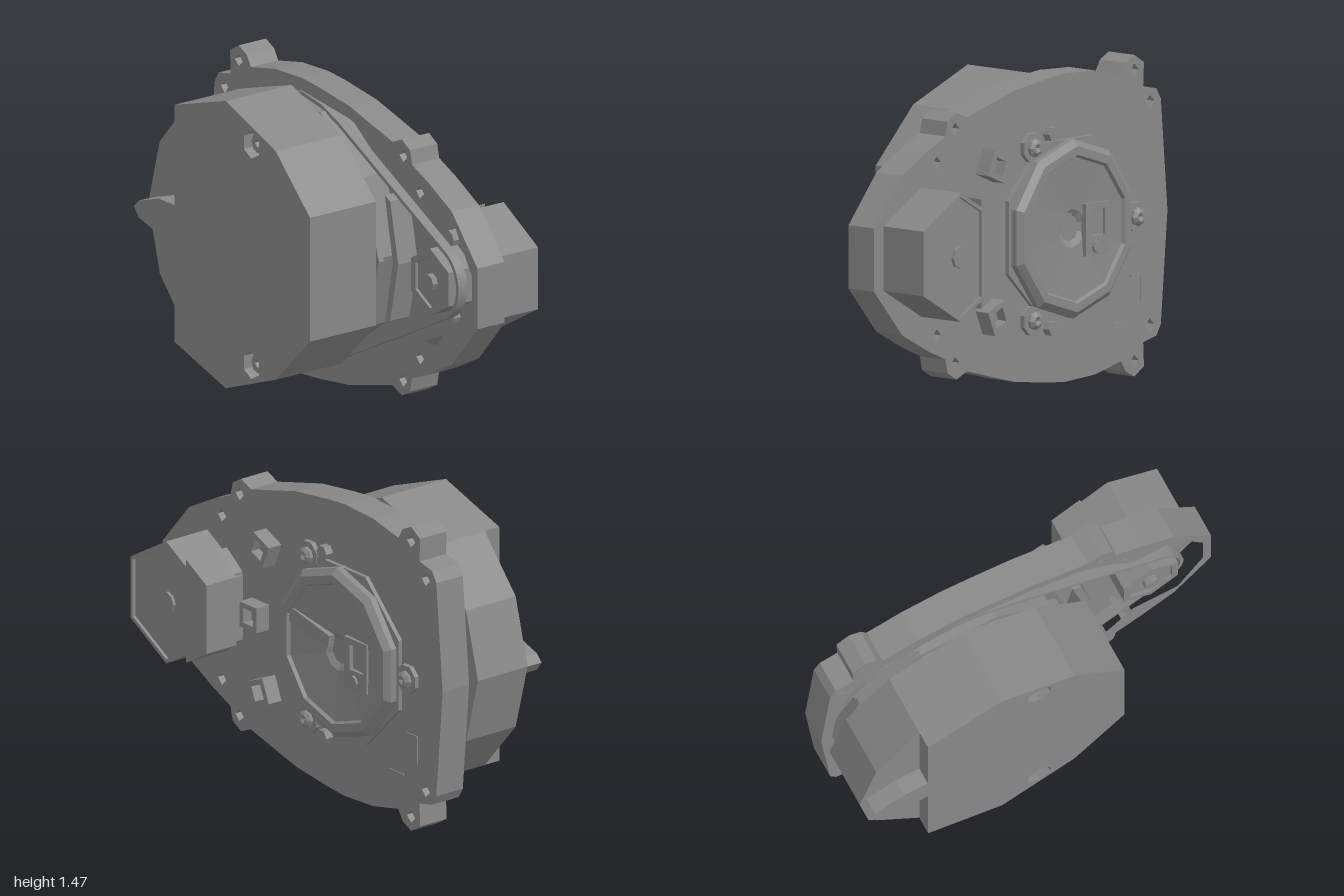
import * as THREE from 'three';

const grey = new THREE.MeshStandardMaterial({ color: 0x888888 });
grey.name = 'housing grey';
const CY = 0.735; // height of the mirror axis

// Regular polygon as a list of [x, y]
const ngon = (cx, cy, r, n, rot = 0) => Array.from({ length: n }, (_, i) => {
  const a = rot + (i / n) * Math.PI * 2;
  return [cx + r * Math.cos(a), cy + r * Math.sin(a)];
});
const flip = ([x, y]) => [x, 2 * CY - y];
// Closes an upper outline with its reflection
const mirrored = (top) => [...top, ...top.filter((p) => p[1] !== CY).reverse().map(flip)];
const vec = (pts) => pts.map(([x, y]) => new THREE.Vector2(x, y));

export function createModel() {
  const model = new THREE.Group();
  model.name = 'beltDriveUnit';

  const add = (name, geometry) => {
    const flat = geometry.index ? geometry.toNonIndexed() : geometry;
    flat.computeVertexNormals();
    const mesh = new THREE.Mesh(flat, grey);
    mesh.name = name;
    model.add(mesh);
    return mesh;
  };
  // Polygon extruded from z0 to z1, with optional holes
  const prism = (name, pts, z0, z1, holes = []) => {
    const shape = new THREE.Shape(vec(pts));
    holes.forEach((h) => shape.holes.push(new THREE.Path(vec(h))));
    const g = new THREE.ExtrudeGeometry(shape, { depth: z1 - z0, bevelEnabled: false });
    return add(name, g.translate(0, 0, z0));
  };
  // Turned part whose profile [radius, height] grows towards the back
  const turned = (name, x, y, profile, n) =>
    add(name, new THREE.LatheGeometry(vec(profile), n).rotateX(-Math.PI / 2).translate(x, y, 0));

  // Tray housing with lugs
  const outline = mirrored([
    [-0.995, CY], [-0.95, 1.25], [-0.92, 1.3], [-0.83, 1.32], [-0.835, 1.43], [-0.77, 1.47],
    [-0.71, 1.44], [-0.68, 1.39], [-0.5, 1.43], [-0.3, 1.44], [-0.18, 1.43], [0.05, 1.4],
    [0.37, 1.315], [0.44, 1.345], [0.5, 1.31], [0.515, 1.245], [0.64, 1.19], [0.81, 1.1], [1, 0.88],
  ]);
  const cavity = mirrored([
    [-0.94, CY], [-0.9, 1.17], [-0.8, 1.2], [-0.7, 1.3], [-0.3, 1.38], [0.05, 1.34],
    [0.37, 1.25], [0.5, 1.14], [0.6, 1.04], [0.83, 1.04], [0.96, 0.83],
  ]);
  const boltSpots = [[-0.77, 1.4], [-0.875, 1.245], [0.45, 1.27], [0.575, 1.13]];
  const bolts = [...boltSpots, ...boltSpots.map(flip)].map(([x, y]) => ngon(x, y, 0.03, 4));
  prism('housingWall', outline, -0.14, -0.02, [cavity, ...bolts]);
  prism('housingFloor', outline, -0.175, -0.14, bolts);

  // Large pulley behind the drum
  prism('largePulleyHub', ngon(-0.33, CY, 0.61, 10), -0.14, -0.01);
  prism('largePulleyFlange', ngon(-0.31, CY, 0.63, 10), -0.01, 0.018);
  prism('drumSpacer', ngon(-0.31, CY, 0.6, 10), 0.018, 0.045);
  prism('innerBracket', [[0.3, 1.04], [0.34, 1.02], [0.4, CY], [0.34, 0.45], [0.3, 0.43], [0.36, CY]], -0.14, -0.03);

  // Drive belt around both pulleys
  const beltPath = (path, off) => {
    const a = THREE.MathUtils.degToRad(63);
    path.absarc(-0.33, CY, 0.64 - off, a, 2 * Math.PI - a, false);
    path.absarc(0.68, CY, 0.18 - off, -a, a, false);
    return path;
  };
  const beltShape = beltPath(new THREE.Shape(), 0);
  beltShape.holes.push(beltPath(new THREE.Path(), 0.018));
  add('driveBelt', new THREE.ExtrudeGeometry(beltShape, { depth: 0.05, bevelEnabled: false, curveSegments: 10 })
    .translate(0, 0, -0.07));

  // Small motor pulley
  const hex = (r, n = 6) => ngon(0.68, CY, r, n, Math.PI / 2);
  prism('motorPulley', hex(0.16), -0.14, -0.01);
  prism('motorPulleyRim', hex(0.16), -0.01, 0.005, [hex(0.125)]);
  prism('motorShaft', hex(0.04, 8), -0.01, 0.018);
  for (const y of [0.92, 0.55]) prism('motorScrew', ngon(0.68, y, 0.04, 8), -0.14, -0.1);

  // Drum: full body, raised front and pointer fin
  const drum = [[-0.68, 1.3], [-0.3, 1.42], [0.07, 1.28], [0.325, 1.03]];
  const screwWells = [1.26, 0.21].map((y) => ngon(-0.11, y, 0.065, 6, Math.PI / 2));
  prism('drumBody', mirrored([[-0.985, CY], [-0.9, 1.05], ...drum]), 0.04, 0.33);
  prism('drumFront', mirrored(drum), 0.33, 0.415, screwWells);
  prism('pointerFin', [[-0.68, 0.82], [-0.8, 0.82], [-0.95, 0.77], [-0.985, CY], [-0.95, 0.69],
    [-0.8, 0.65], [-0.68, 0.65]], 0.33, 0.412);
  for (const y of [1.26, 0.21]) {
    prism('drumScrew', ngon(-0.11, y, 0.045, 8), 0.33, 0.38, [ngon(-0.11, y, 0.02, 4)]);
  }

  // Motor can on the back
  prism('motorCan', hex(0.295), -0.4, -0.17);
  prism('motorCanRim', hex(0.295), -0.415, -0.4, [hex(0.275)]);
  prism('motorEndBoss', hex(0.05, 8), -0.415, -0.4);
  prism('motorBracket', [[0.394, 0.9], [0.54, 0.985], [0.54, 0.485], [0.394, 0.57]], -0.415, -0.24);
  prism('motorBracketFoot', [[0.43, 0.9], [0.54, 0.985], [0.54, 0.485], [0.43, 0.57]], -0.24, -0.17);

  // Rear bearing hub: gasket, dished cover, centre fittings
  prism('hubGasket', ngon(-0.3, CY, 0.44, 8, Math.PI / 8), -0.195, -0.17);
  turned('hubCover', -0.3, CY,
    [[0.41, 0.17], [0.41, 0.225], [0.38, 0.25], [0.34, 0.25], [0.33, 0.235], [0.09, 0.215], [0.06, 0.198], [0, 0.198]], 10);
  prism('hubRib', [[-0.27, 0.81], [-0.26, 0.75], [0.02, 0.8], [0.0, 0.87]], -0.242, -0.21);
  prism('hubSlotPlate', [[-0.53, 0.6], [-0.37, 0.6], [-0.37, 0.84], [-0.53, 0.84]], -0.238, -0.21,
    [[[-0.5, 0.69], [-0.41, 0.69], [-0.41, 0.81], [-0.5, 0.81]]]);
  prism('hubSlotScrew', ngon(-0.44, 0.64, 0.03, 8), -0.25, -0.23);

  // Hub ears with screws
  for (const [x, y] of [[-0.06, 1.13], [-0.06, 0.34], [-0.76, CY]]) {
    prism('hubEar', ngon(x, y, 0.07, 8, Math.PI / 8), -0.198, -0.17);
    turned('hubScrew', x, y, [[0.042, 0.19], [0.042, 0.212], [0.025, 0.225], [0.018, 0.225], [0, 0.212]], 8);
  }
  for (const [x, y] of [[-0.18, 1.18], [-0.18, 0.29]]) prism('hubPeg', ngon(x, y, 0.035, 6), -0.215, -0.17);

  // Cable clips on the back
  const clips = [[0.23, 1.08, 0.4], [0.3, CY, 0], [0.23, 0.39, -0.4]];
  for (const [x, y, tilt] of clips) {
    const a = tilt + Math.PI / 4;
    prism('clipFrame', ngon(x, y, 0.085, 4, a), -0.25, -0.17, [ngon(x, y, 0.05, 4, a)]);
    prism('clipBase', ngon(x, y, 0.052, 4, a), -0.2, -0.17);
  }

  // Corner ridges and small pins on the back face
  prism('cornerRidge', [[-0.82, 0.34], [-0.81, 0.34], [-0.81, 0.46], [-0.74, 0.46], [-0.74, 0.47], [-0.82, 0.47]], -0.18, -0.17);
  prism('cornerRidge', [[-0.72, 0.25], [-0.62, 0.25], [-0.62, 0.26], [-0.72, 0.26]], -0.18, -0.17);
  return model;
}
